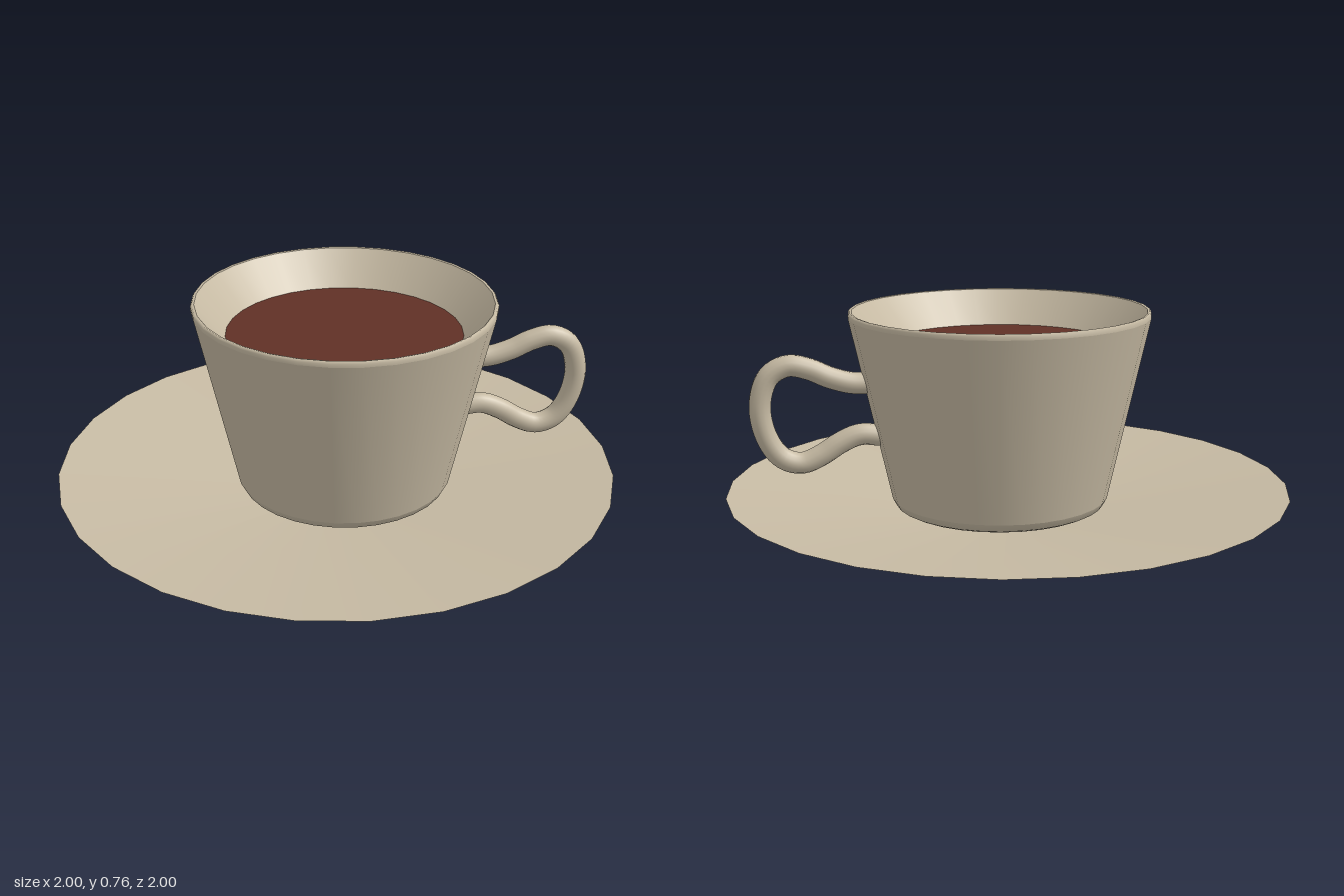
import * as THREE from 'three';

const SIDES = 28;
const CUP_X = 0.03;

export function createModel() {
  const model = new THREE.Group();
  model.name = 'cupAndSaucer';

  const ceramic = new THREE.MeshStandardMaterial({ color: 0xc6baa3, side: THREE.DoubleSide });
  ceramic.name = 'ceramic';
  const coffee = new THREE.MeshStandardMaterial({ color: 0x603126 });
  coffee.name = 'coffee';

  const add = (name, geometry, material, parent = model) => {
    const mesh = new THREE.Mesh(geometry, material);
    mesh.name = name;
    parent.add(mesh);
    return mesh;
  };
  const lathe = (points, sides = SIDES) =>
    new THREE.LatheGeometry(points.map(([r, y]) => new THREE.Vector2(r, y)), sides);

  // Saucer: a thin, shallow cone standing on its point
  add('saucer', lathe([[0, 0], [1, 0.125]]), ceramic);

  // Cup: tapered outer wall, rounded foot and lip, funnel-shaped inside
  const cup = new THREE.Group();
  cup.name = 'cup';
  cup.position.x = CUP_X;
  model.add(cup);
  add('cupFoot', lathe([[0, 0.055], [0.355, 0.055], [0.375, 0.065], [0.388, 0.09]], 32), ceramic, cup);
  add('cupWall', lathe([[0.388, 0.09], [0.531, 0.74]], 32), ceramic, cup);
  add('cupLip', lathe([[0.531, 0.74], [0.531, 0.752], [0.526, 0.76], [0.518, 0.758]], 32), ceramic, cup);
  add('cupInside', lathe([[0.518, 0.758], [0.415, 0.634], [0.32, 0.52]], 32), ceramic, cup);

  // Coffee surface
  const surface = add('coffeeSurface', new THREE.CircleGeometry(0.417, 48), coffee, cup);
  surface.rotation.x = -Math.PI / 2;
  surface.position.y = 0.635;

  // Handle: a round tube looping out from the wall and back
  const path = new THREE.CatmullRomCurve3([
    [0.47, 0.515], [0.55, 0.517], [0.63, 0.54], [0.70, 0.572], [0.772, 0.586],
    [0.838, 0.55], [0.87, 0.45], [0.85, 0.335], [0.80, 0.262], [0.735, 0.24],
    [0.665, 0.265], [0.60, 0.305], [0.53, 0.332], [0.45, 0.325],
  ].map(([x, y]) => new THREE.Vector3(x, y, 0)));
  add('handle', new THREE.TubeGeometry(path, 64, 0.038, 14, false), ceramic);

  return model;
}
